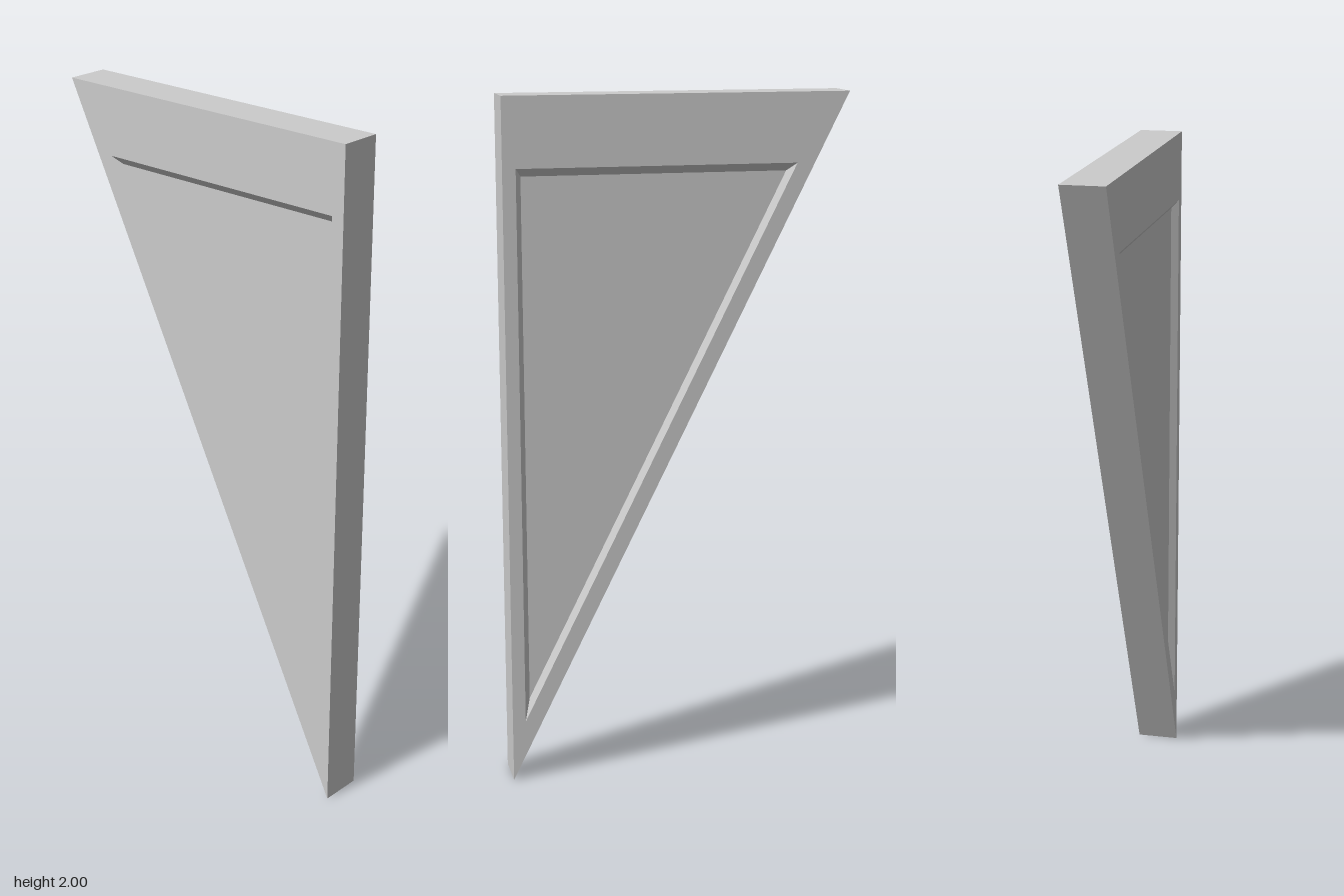
import * as THREE from 'three';

// Triangle corners as [z, y]: front top, back top, front bottom
const OUTER = [[0.5, 2], [-0.5, 2], [0.5, 0]];
const RECESS = [[0.462, 1.8], [-0.348, 1.8], [0.462, 0.18]];
const FLOOR = [[0.446, 1.777], [-0.32, 1.777], [0.446, 0.245]];
const HALF = 0.0625;
const DEPTH = 0.02;

export function createModel() {
  const group = new THREE.Group();
  group.name = 'triangularBracket';

  // Cross-sections from the right panel floor, around the rim, to the left panel floor
  const rings = [
    [FLOOR, -HALF + DEPTH], [RECESS, -HALF], [OUTER, -HALF],
    [OUTER, HALF], [RECESS, HALF], [FLOOR, HALF - DEPTH],
  ].map(([pts, x]) => pts.map(([z, y]) => [x, y, z]));

  const pos = [];
  const tri = (...corners) => corners.forEach((c) => pos.push(...c));

  // Frame faces, bevels and rim
  for (let i = 0; i < rings.length - 1; i++) {
    const a = rings[i], b = rings[i + 1];
    for (let j = 0; j < 3; j++) {
      const k = (j + 1) % 3;
      tri(a[j], b[j], a[k]);
      tri(a[k], b[j], b[k]);
    }
  }
  // Sunken panel floors
  const [p, q, r] = rings[0];
  tri(p, q, r);
  const [s, t, u] = rings[rings.length - 1];
  tri(s, u, t);

  const geometry = new THREE.BufferGeometry();
  geometry.setAttribute('position', new THREE.Float32BufferAttribute(pos, 3));
  geometry.computeVertexNormals();

  const bracket = new THREE.Mesh(
    geometry,
    new THREE.MeshStandardMaterial({ color: 0xcccccc, flatShading: true }),
  );
  bracket.name = 'panelledBracket';
  group.add(bracket);
  return group;
}
